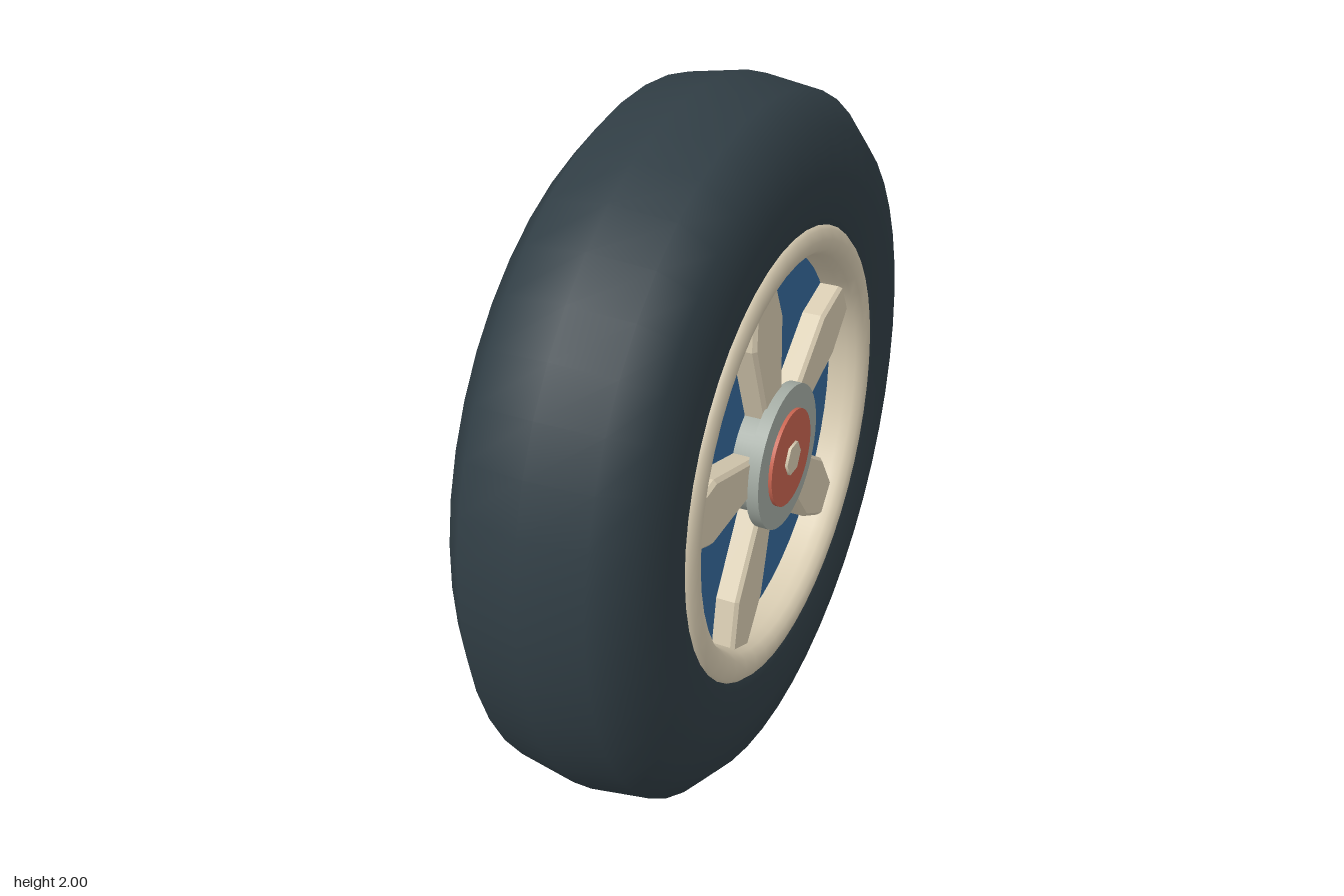
import * as THREE from 'three';

const mat = (color, extra = {}) => new THREE.MeshStandardMaterial({ color, ...extra });
const SEGMENTS = 48;

function part(name, geometry, material) {
  const mesh = new THREE.Mesh(geometry, material);
  mesh.name = name;
  return mesh;
}

// Turned part around the x axle; points are [radius, x]
function turned(name, points, material) {
  const geo = new THREE.LatheGeometry(points.map(([r, x]) => new THREE.Vector2(r, x)), SEGMENTS);
  return part(name, geo.rotateZ(-Math.PI / 2), material);
}

// Solid disc along the x axle from x0 to x1
function disc(name, radius, x0, x1, material, sides = SEGMENTS) {
  const geo = new THREE.CylinderGeometry(radius, radius, x1 - x0, sides);
  if (sides === 6) geo.rotateY(Math.PI / 6 + Math.PI / 3 - Math.PI / 2 + Math.PI / 6 - Math.PI / 6);
  geo.rotateZ(-Math.PI / 2).translate((x0 + x1) / 2, 0, 0);
  return part(name, geo, material);
}

// Spoke blade: narrow at the hub, widest two thirds out, narrow at the rim
function spokeGeometry(angle) {
  const half = [[0.04, 0.15], [0.082, 0.41], [0.048, 0.548]];
  const outline = [...half, ...half.map(([x, y]) => [-x, y]).reverse()];
  const shape = new THREE.Shape(outline.map(([x, y]) => new THREE.Vector2(x, y)));
  const geo = new THREE.ExtrudeGeometry(shape, {
    depth: 0.065, bevelEnabled: true, bevelSize: 0.01, bevelThickness: 0.01, bevelSegments: 1,
  });
  return geo.rotateZ(angle - Math.PI / 2).rotateY(Math.PI / 2).translate(0.145, 0, 0);
}

export function createModel() {
  const rubber = mat(0x303d44);
  const cream = mat(0xd8ccb2);
  const blue = mat(0x35699b);
  const steel = mat(0xa3aba3);
  const red = mat(0xc86450);

  const model = new THREE.Group();
  model.name = 'wheel';
  const wheel = new THREE.Group();
  wheel.name = 'wheelBody';
  wheel.position.y = 1;
  model.add(wheel);

  // Tyre: mirrored half profile, from one bead over the tread to the other
  const half = [[0.56, 0.15], [0.6, 0.235], [0.66, 0.255], [0.77, 0.268], [0.89, 0.243], [0.975, 0.165]];
  const profile = [...half.map(([r, x]) => [r, -x]), [1, 0], ...half.slice().reverse()];
  wheel.add(turned('tyre', profile, rubber));

  // Backing disc behind the spokes
  wheel.add(disc('centerDisc', 0.565, -0.155, 0.155, blue));

  // Both faces: rim, hub and five spokes; spoke angles are mirrored on the right side
  for (const side of [1, -1]) {
    const face = new THREE.Group();
    face.name = side > 0 ? 'leftFace' : 'rightFace';
    face.rotation.y = side > 0 ? 0 : Math.PI;

    face.add(turned('rim', [
      [0.638, 0.2], [0.638, 0.243], [0.625, 0.258], [0.598, 0.266],
      [0.57, 0.258], [0.555, 0.238], [0.548, 0.21], [0.548, 0.15],
    ], cream));

    face.add(disc('hubCore', 0.17, 0.14, 0.22, steel));
    face.add(disc('hubFlange', 0.205, 0.215, 0.25, steel));
    face.add(disc('hubCap', 0.138, 0.24, 0.26, red));
    face.add(disc('axleBolt', 0.048, 0.25, 0.268, cream, 6));

    for (let i = 0; i < 5; i++) {
      const a = THREE.MathUtils.degToRad(101 + i * 72);
      face.add(part('spoke', spokeGeometry(side > 0 ? a : Math.PI - a), cream));
    }
    wheel.add(face);
  }
  return model;
}
